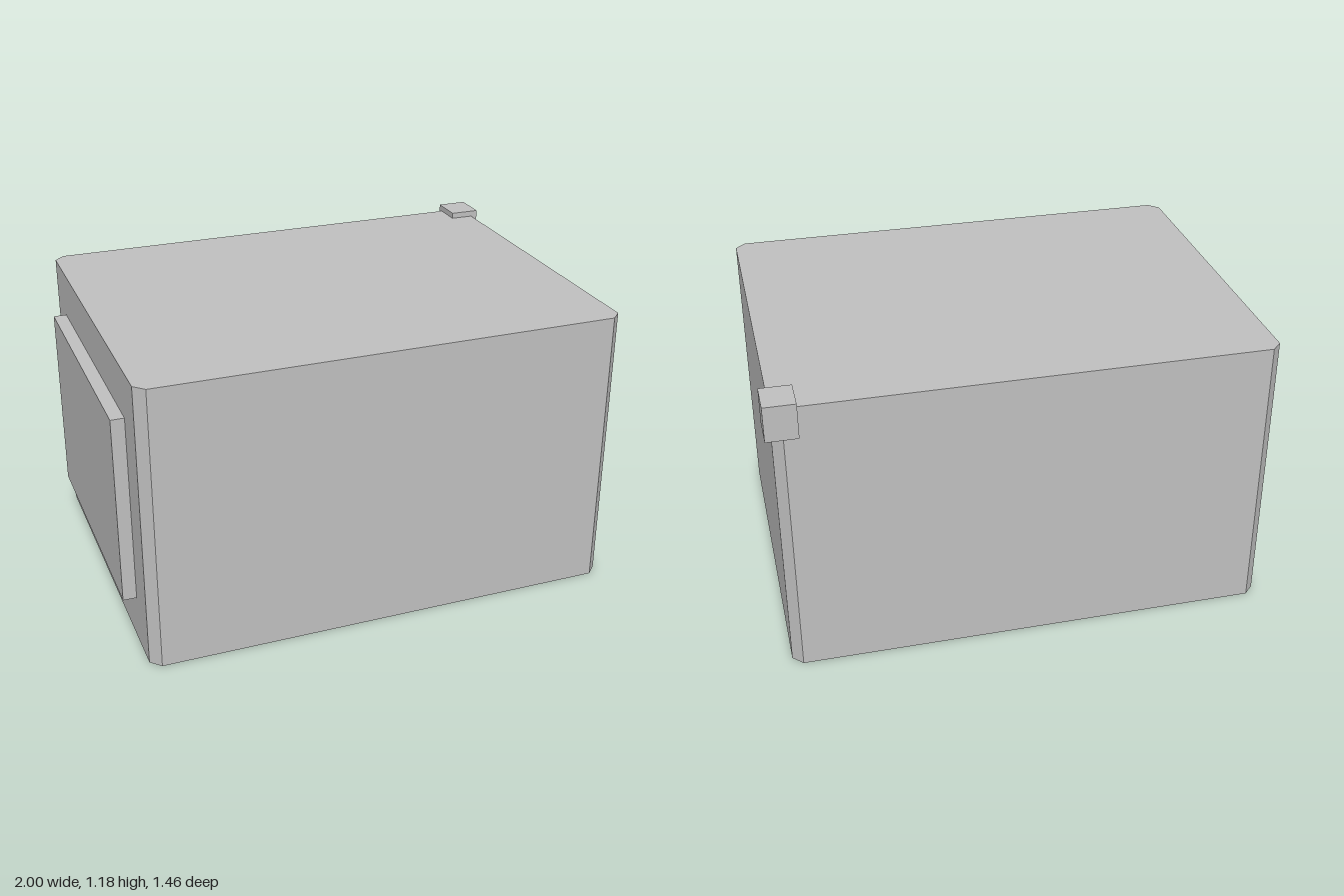
import * as THREE from 'three';

export function createModel() {
  const model = new THREE.Group();
  const grey = new THREE.MeshStandardMaterial({ color: 0xc0c0c0 });
  grey.name = 'light grey';

  const add = (name, geometry) => {
    const mesh = new THREE.Mesh(geometry, grey);
    mesh.name = name;
    model.add(mesh);
    return mesh;
  };

  // Box given by its lowest and highest corner
  const box = (name, [x0, y0, z0], [x1, y1, z1]) =>
    add(name, new THREE.BoxGeometry(x1 - x0, y1 - y0, z1 - z0))
      .position.set((x0 + x1) / 2, (y0 + y1) / 2, (z0 + z1) / 2);

  // Body: rectangle with bevelled vertical corners, extruded upwards
  const w = 0.96, d = 0.72, c = 0.04;
  const outline = new THREE.Shape([
    [w, c - d], [w, d - c], [w - c, d], [c - w, d],
    [-w, d - c], [-w, c - d], [c - w, -d], [w - c, -d],
  ].map(([x, y]) => new THREE.Vector2(x, y)));
  const bodyGeometry = new THREE.ExtrudeGeometry(outline, { depth: 1.152, bevelEnabled: false });
  bodyGeometry.rotateX(-Math.PI / 2);
  add('body', bodyGeometry).position.set(0.013, 0, 0.013);

  // Raised panel on the right side
  box('sidePanel', [-1, 0.195, -0.515], [-0.94, 0.96, 0.538]);

  // Small block set into the top back corner
  box('cornerBlock', [0.878, 1.035, -0.73], [1, 1.176, -0.59]);

  return model;
}
